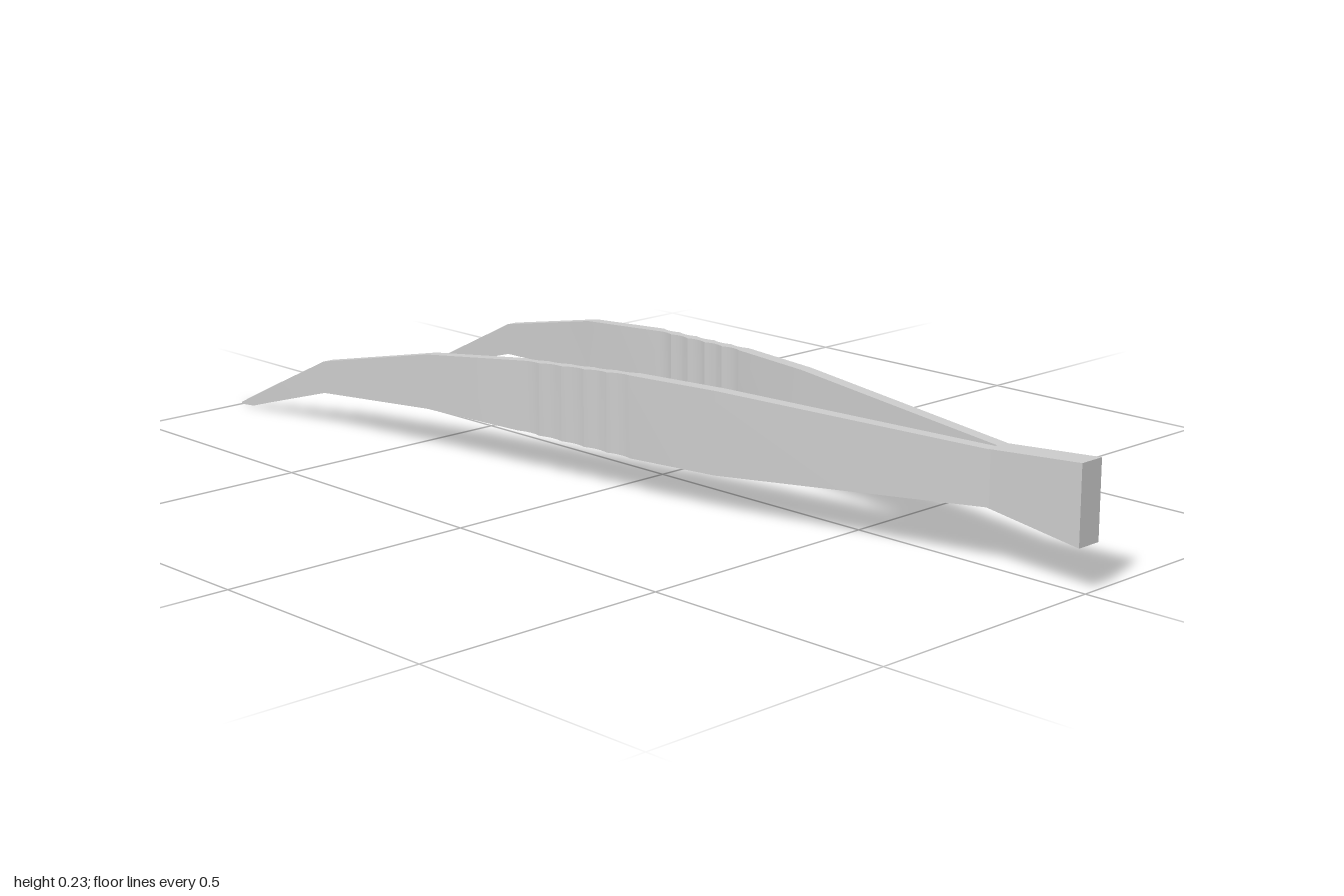
import * as THREE from 'three';
import { toCreasedNormals } from 'three/addons/utils/BufferGeometryUtils.js';

const MID = -0.004; // plane of symmetry between the arms

// Rectangular sections [x, bottom, top, zMin, zMax] joined along +x, ends capped
function loft(sections) {
  const pos = [], idx = [];
  for (const [x, b, t, z0, z1] of sections) pos.push(x, b, z0, x, t, z0, x, t, z1, x, b, z1);
  const quad = (a, b, c, d) => idx.push(a, b, c, a, c, d);
  const n = sections.length - 1;
  for (let i = 0; i < n; i++) {
    for (let j = 0; j < 4; j++) {
      const a = i * 4 + j, b = i * 4 + (j + 1) % 4;
      quad(a, b, b + 4, a + 4);
    }
  }
  quad(3, 2, 1, 0);
  quad(n * 4, n * 4 + 1, n * 4 + 2, n * 4 + 3);
  const geo = new THREE.BufferGeometry();
  geo.setAttribute('position', new THREE.Float32BufferAttribute(pos, 3));
  geo.setIndex(idx);
  return toCreasedNormals(geo, 0.35);
}

// Arm stations: x, bottom, top, outer offset, inner offset
const ARM = [
  [-1, 0, 0.004, 0.262, 0.252],
  [-0.96, 0.003, 0.024, 0.261, 0.249],
  [-0.9, 0.021, 0.053, 0.26, 0.245],
  [-0.72, 0.073, 0.138, 0.256, 0.233],
  [-0.43, 0.088, 0.197, 0.224, 0.2],
  [-0.2, 0.083, 0.22, 0.193, 0.168],
  [0.07, 0.075, 0.232, 0.156, 0.13],
  [0.26, 0.075, 0.232, 0.126, 0.1],
  [0.81, 0.112, 0.213, 0.026, 0.001],
];
const GRIP = 5;               // grip lies between stations 5 and 6
const GROOVES = 5, STEPS = 6, DEPTH = 0.005;

// Stations with scalloped grip grooves cut into both faces
function armStations() {
  const out = ARM.slice(0, GRIP + 1);
  const a = ARM[GRIP], b = ARM[GRIP + 1], total = GROOVES * STEPS;
  for (let i = 1; i < total; i++) {
    const s = a.map((v, k) => THREE.MathUtils.lerp(v, b[k], i / total));
    const u = (i % STEPS) / STEPS;
    const cut = DEPTH * 4 * u * (1 - u);
    s[3] -= cut;
    s[4] += cut;
    out.push(s);
  }
  return out.concat(ARM.slice(GRIP + 1));
}

export function createModel() {
  const group = new THREE.Group();
  const material = new THREE.MeshStandardMaterial({ color: 0xcccccc });
  const add = (name, sections) => {
    const mesh = new THREE.Mesh(loft(sections), material);
    mesh.name = name;
    group.add(mesh);
  };

  // Two mirrored arms
  const stations = armStations();
  add('frontArm', stations.map(([x, b, t, o, i]) => [x, b, t, MID + i, MID + o]));
  add('backArm', stations.map(([x, b, t, o, i]) => [x, b, t, MID - o, MID - i]));

  // Flared block joining the arms
  add('joiningBlock', [
    [0.8, 0.112, 0.213, MID - 0.026, MID + 0.026],
    [1, 0.083, 0.228, MID - 0.026, MID + 0.026],
  ]);
  return group;
}
